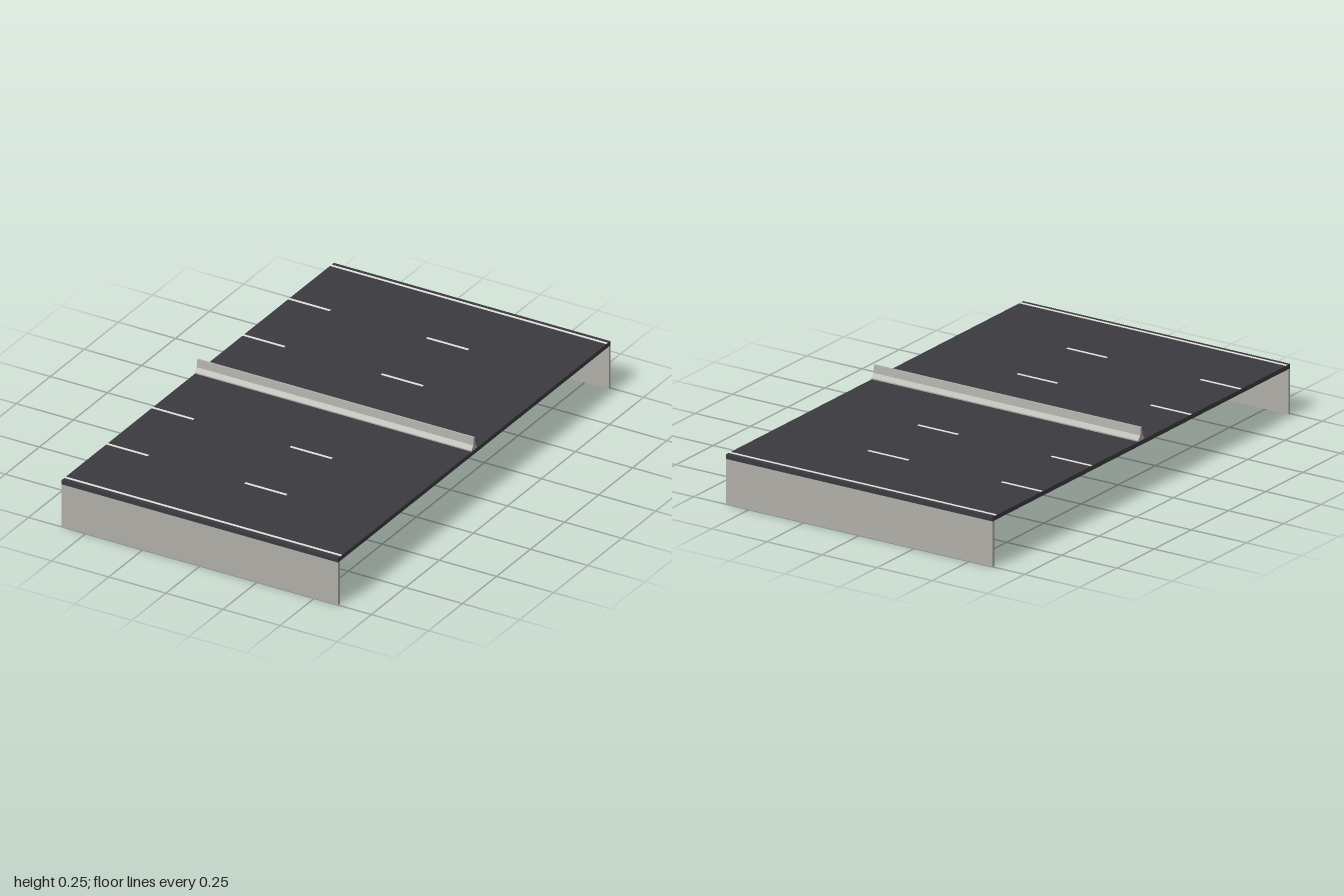
import * as THREE from 'three';

const WIDTH = 1.21, TOP = 0.2, DECK = 0.018, WALL = 0.012;

export function createModel() {
  const model = new THREE.Group();
  model.name = 'roadBridge';

  const material = (name, color) => {
    const m = new THREE.MeshStandardMaterial({ color });
    m.name = name;
    return m;
  };
  const asphalt = material('asphalt', 0x3b3a3f);
  const concrete = material('concrete', 0xb0aea8);
  const paint = material('roadPaint', 0xe4e2dc);

  const add = (name, geometry, mat, x = 0, y = 0, z = 0) => {
    const mesh = new THREE.Mesh(geometry, mat);
    mesh.name = name;
    mesh.position.set(x, y, z);
    model.add(mesh);
    return mesh;
  };

  // Road deck
  add('deck', new THREE.BoxGeometry(WIDTH, DECK, 2), asphalt, 0, TOP - DECK / 2, 0);

  // Side walls, edge lines and lane dashes, mirrored front to back
  const wallHeight = TOP - DECK;
  const wall = new THREE.BoxGeometry(WIDTH, wallHeight, WALL);
  const edgeLine = new THREE.BoxGeometry(WIDTH, 0.002, 0.01);
  const dash = new THREE.BoxGeometry(0.182, 0.002, 0.01);
  for (const side of [1, -1]) {
    add('sideWall', wall, concrete, 0, wallHeight / 2, side * (1 - WALL / 2));
    add('edgeLine', edgeLine, paint, 0, TOP + 0.001, side * 0.976);
    for (const z of [0.334, 0.668]) {
      for (const start of [-WIDTH / 2, 0]) {
        add('laneDash', dash, paint, start + 0.091, TOP + 0.001, side * z);
      }
    }
  }

  // Median barrier: flared concrete profile swept across the deck
  const half = [[0.02, 0], [0.02, 0.005], [0.008, 0.022], [0.004, 0.053]];
  const outline = [...half, ...half.map(([x, y]) => [-x, y]).reverse()];
  const profile = new THREE.Shape(outline.map(([x, y]) => new THREE.Vector2(x, y)));
  const barrier = new THREE.ExtrudeGeometry(profile, { depth: WIDTH, bevelEnabled: false });
  barrier.translate(0, 0, -WIDTH / 2).rotateY(Math.PI / 2);
  add('medianBarrier', barrier, concrete, 0, TOP, 0);

  return model;
}
